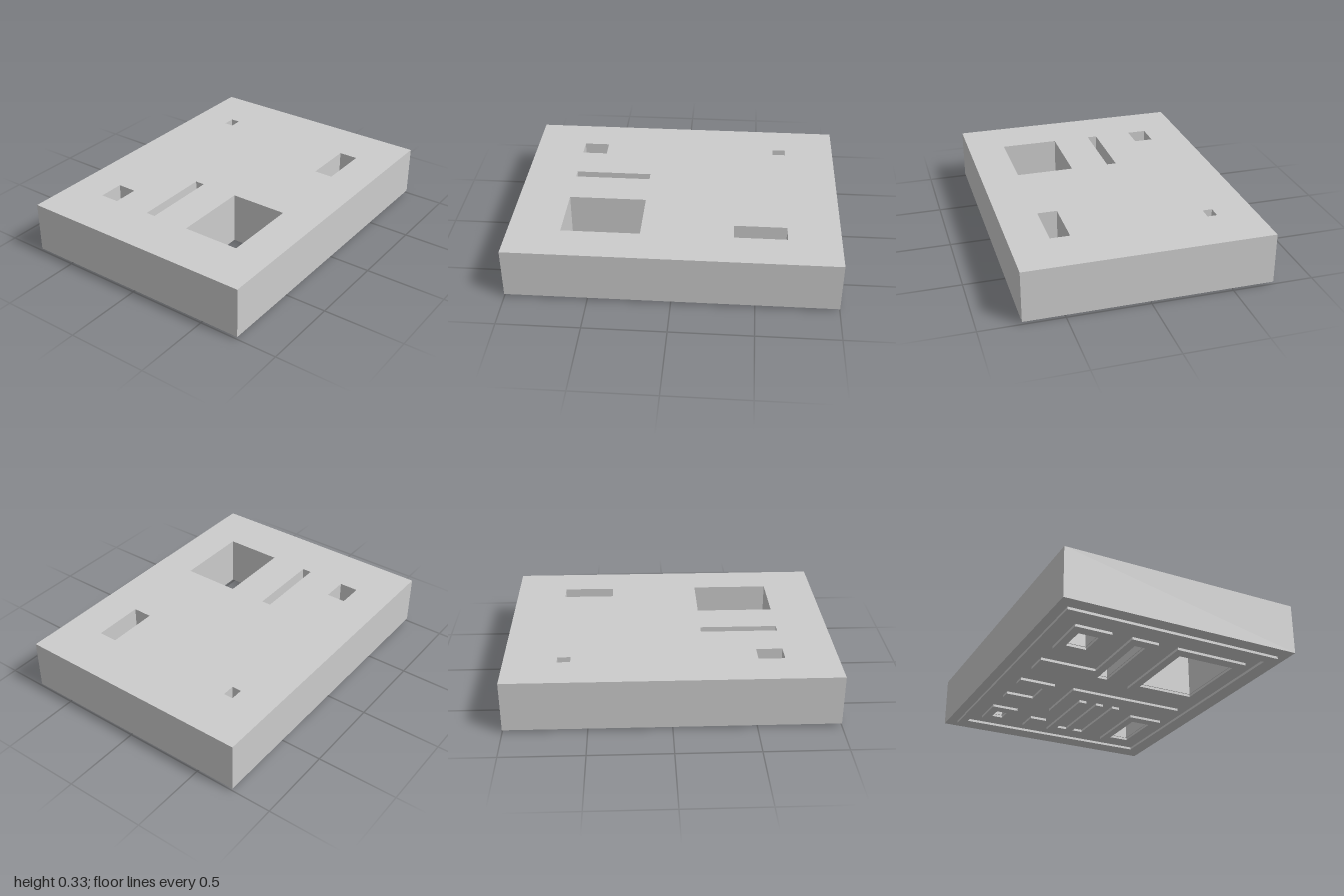
import * as THREE from 'three';

// Layout grid: 25 x 25 cells, each 0.08 wide (x) and 0.06 deep (z)
const CX = 0.08, CZ = 0.06, E = 0.43;
const RIDGE = 0.016, TOP = 0.33;

// Outlines run counter-clockwise as seen from above
const rect = (i0, i1, j0, j1) => [[i0, j1], [i1, j1], [i1, j0], [i0, j0]];
// Rectangle covering whole cells, and the outer and inner outlines of a one-cell wall
const cells = (i0, i1, j0, j1) => rect(i0 - 0.5, i1 + 0.5, j0 - 0.5, j1 + 0.5);
const wall = (i0, i1, j0, j1) => rect(i0 - E, i1 + E, j0 - E, j1 + E);
const inner = (i0, i1, j0, j1) => rect(i0 + E, i1 - E, j0 + E, j1 - E);

export function createModel() {
  const model = new THREE.Group();
  const material = new THREE.MeshStandardMaterial({ color: 0xcccccc, flatShading: true });

  // Extrudes a grid outline, with holes, between two heights
  function slab(name, outline, holes, y0, y1) {
    const points = (list) => list.map(([i, j]) => new THREE.Vector2(i * CX, -j * CZ));
    const shape = new THREE.Shape(points(outline));
    for (const hole of holes) shape.holes.push(new THREE.Path(points(hole)));
    const geometry = new THREE.ExtrudeGeometry(shape, { depth: y1 - y0, bevelEnabled: false });
    geometry.rotateX(-Math.PI / 2);
    geometry.translate(0, y0, 0);
    const mesh = new THREE.Mesh(geometry, material);
    mesh.name = name;
    model.add(mesh);
  }
  const ridge = (name, outline, holes = []) => slab(name, outline, holes, 0, RIDGE);

  // Block with five openings right through it
  const openings = {
    smallOpening: [8, 8, -8, -8],
    squareOpening: [-8, -7, -8, -7],
    slot: [-8, -3, -2, -2],
    largeOpening: [-8, -3, 3, 8],
    wideOpening: [5, 8, 7, 8],
  };
  slab('block', rect(-12.5, 12.5, -12.5, 12.5),
    Object.values(openings).map((o) => cells(...o)), RIDGE, TOP);

  // Border ridge around the underside
  ridge('borderRidge', wall(-11, 11, -11, 11), [inner(-11, 11, -11, 11)]);

  // Ridge collar around each opening; the slot's collar has a long upright arm
  for (const [name, [i0, i1, j0, j1]] of Object.entries(openings)) {
    const ring = [i0 - 1, i1 + 1, j0 - 1, j1 + 1];
    const outline = name === 'slot'
      ? [[-9 - E, -1 + E], [-2 + E, -1 + E], [-2 + E, -9 - E], [-3 - E, -9 - E],
        [-3 - E, -3 - E], [-9 - E, -3 - E]]
      : wall(...ring);
    ridge(name + 'Collar', outline, [inner(...ring)]);
  }

  // Free-standing ridges
  ridge('shortRidge', wall(8, 9, -4, -3));
  ridge('forkRidge', [
    [1 - E, -6 + E], [4 + E, -6 + E], [4 + E, -9 - E], [4 - E, -9 - E],
    [4 - E, -6 - E], [1 + E, -6 - E], [1 + E, -9 - E], [1 - E, -9 - E],
  ]);
  ridge('angleRidge', [
    [1 - E, 9 + E], [1 + E, 9 + E], [1 + E, -3 + E], [5 + E, -3 + E],
    [5 + E, -3 - E], [1 - E, -3 - E],
  ]);
  ridge('combRidge', [
    [3 - E, -1 - E], [3 - E, -1 + E], [9 - E, -1 + E], [9 - E, 1 - E],
    [3 - E, 1 - E], [3 - E, 1 + E], [9 - E, 1 + E], [9 - E, 3 - E],
    [3 - E, 3 - E], [3 - E, 3 + E], [9 + E, 3 + E], [9 + E, -1 - E],
  ]);

  return model;
}
